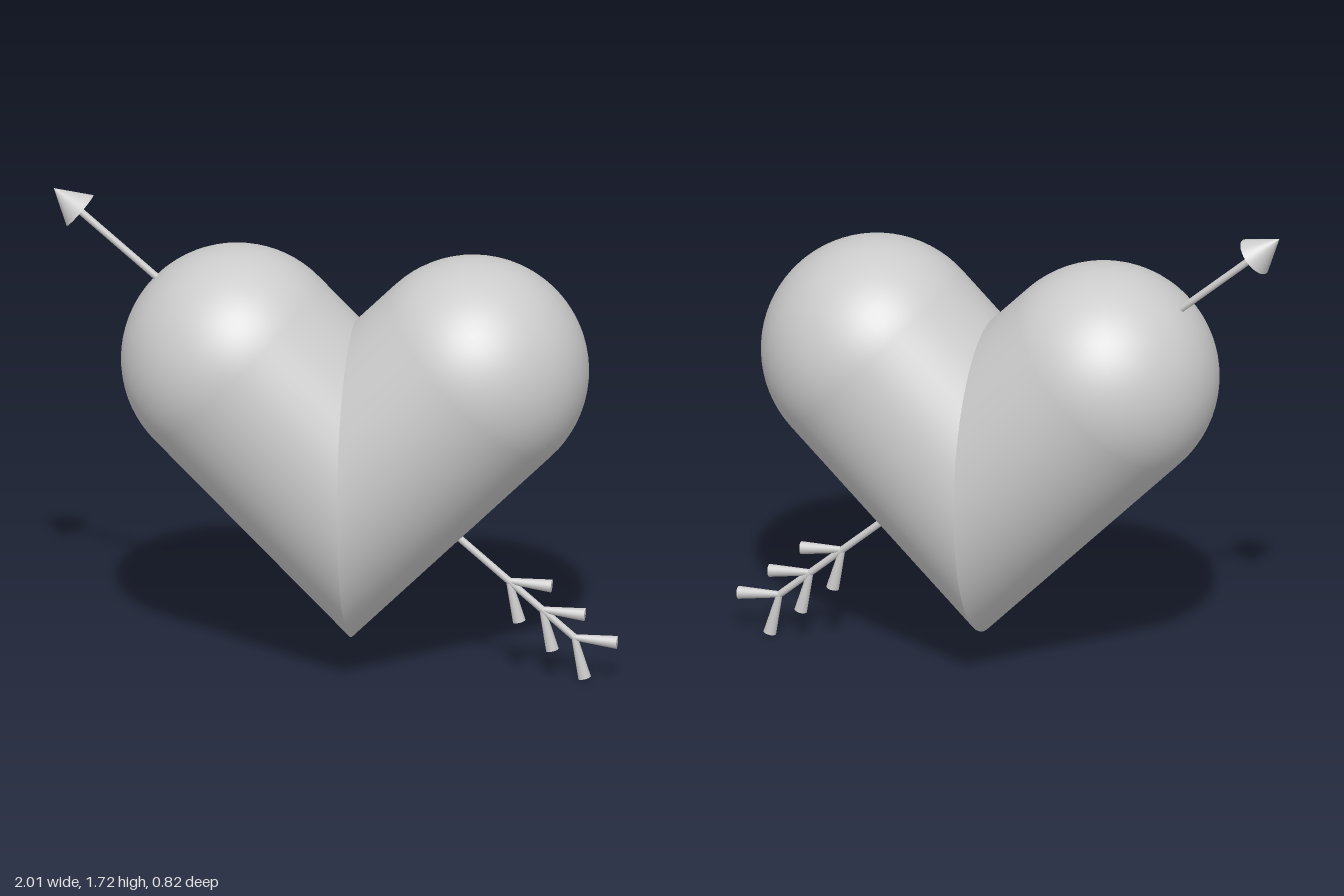
import * as THREE from 'three';

const material = new THREE.MeshStandardMaterial({ color: 0xcccccc });
const UP = new THREE.Vector3(0, 1, 0);

// Tapered rod between two points, radius r0 at the start and r1 at the end
function rod(name, from, to, r0, r1, sides) {
  const dir = to.clone().sub(from);
  const mesh = new THREE.Mesh(new THREE.CylinderGeometry(r1, r0, dir.length(), sides), material);
  mesh.position.copy(from).add(to).multiplyScalar(0.5);
  mesh.quaternion.setFromUnitVectors(UP, dir.normalize());
  mesh.name = name;
  return mesh;
}

// Half of the heart: a round-ended cylinder leaning 45 degrees, mitred on the middle plane
function heartHalf(name, side) {
  const radius = 0.408, length = 0.594, rings = 18;
  const profile = [new THREE.Vector2(radius, 0)];
  for (let i = 0; i <= rings; i++) {
    const a = (i / rings) * Math.PI / 2;
    profile.push(new THREE.Vector2(
      i === rings ? 0 : radius * Math.cos(a), length + radius * Math.sin(a)));
  }
  const geometry = new THREE.LatheGeometry(profile, 64);
  const p = geometry.attributes.position;
  // Slide the open rim along the axis so it lies on the mitre plane
  for (let i = 0; i < p.count; i++) {
    if (p.getY(i) < 1e-6) p.setY(i, -side * p.getX(i));
  }
  const mesh = new THREE.Mesh(geometry, material);
  mesh.rotation.z = -side * Math.PI / 4;
  mesh.name = name;
  return mesh;
}

export function createModel() {
  const model = new THREE.Group();
  model.name = 'heartWithArrow';

  // Heart
  const heart = new THREE.Group();
  heart.name = 'heart';
  heart.position.set(0.072, 0.707, 0);
  heart.add(heartHalf('leftHalf', 1), heartHalf('rightHalf', -1));
  model.add(heart);

  // Arrow
  const arrow = new THREE.Group();
  arrow.name = 'arrow';
  const tip = new THREE.Vector3(-1, 1.725, 0);
  const tail = new THREE.Vector3(0.853, 0.155, 0);
  const along = tail.clone().sub(tip).normalize();
  const headBase = tip.clone().addScaledVector(along, 0.122);
  arrow.add(rod('arrowShaft', headBase, tail, 0.0125, 0.0125, 16));
  arrow.add(rod('arrowHead', headBase, tip, 0.072, 0, 32));

  // Fletching: three pairs of flared barbs swept backwards
  for (const offset of [0.305, 0.15, 0]) {
    const root = tail.clone().addScaledVector(along, -offset);
    for (const side of [1, -1]) {
      const dir = along.clone().applyAxisAngle(new THREE.Vector3(0, 0, 1), side * 0.63);
      const end = root.clone().addScaledVector(dir, 0.152);
      arrow.add(rod('arrowBarb', root, end, 0.011, 0.023, 16));
    }
  }
  model.add(arrow);
  return model;
}
